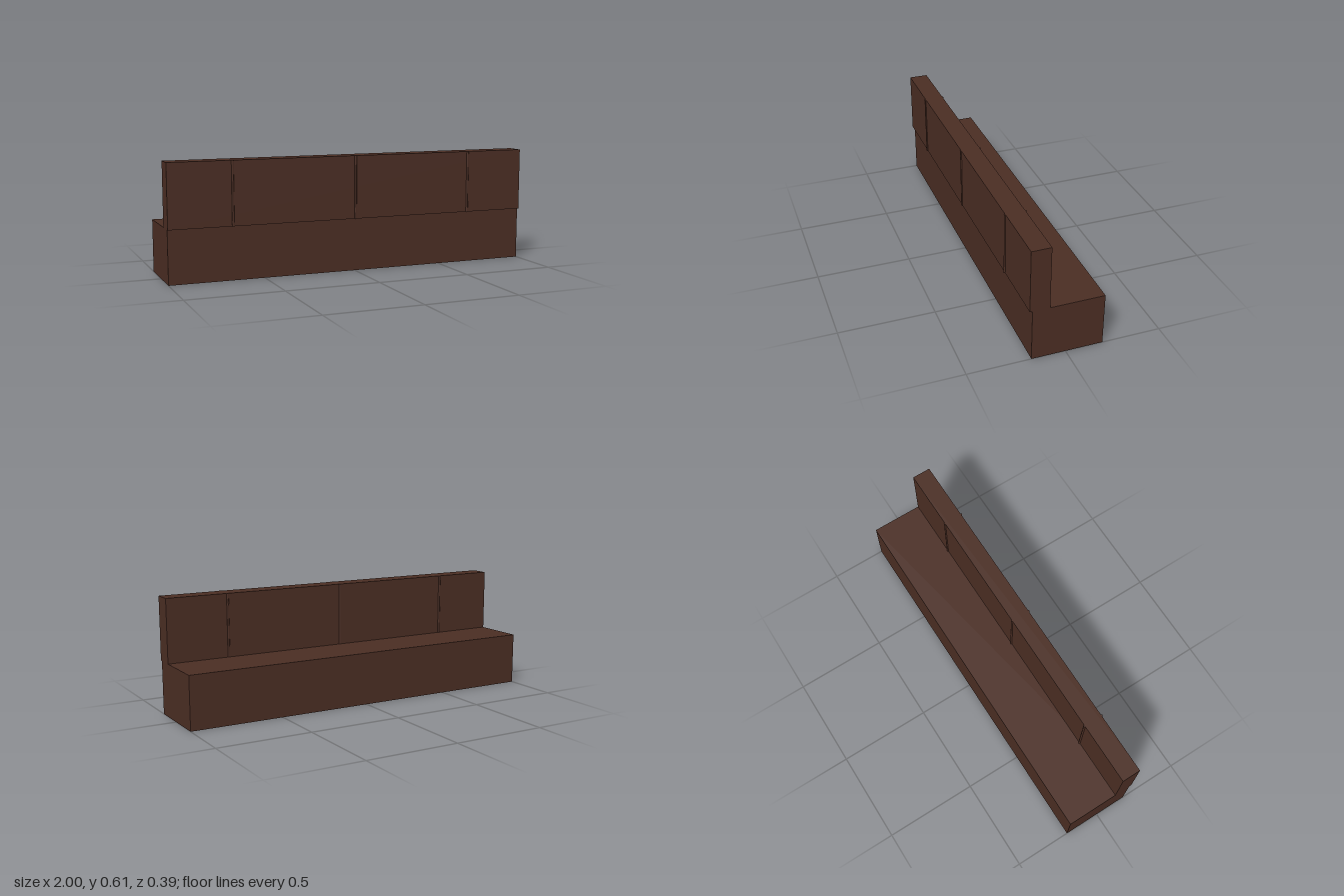
import * as THREE from 'three';

export function createModel() {
  const group = new THREE.Group();
  const darkBrown = new THREE.MeshStandardMaterial({ color: 0x4a2d23 });
  darkBrown.name = 'darkBrownLeather';

  const add = (name, geometry, x, y, z) => {
    const mesh = new THREE.Mesh(geometry, darkBrown);
    mesh.name = name;
    mesh.position.set(x, y, z);
    group.add(mesh);
  };

  // Solid bench base
  const seatTop = 0.28, seatBack = -0.194, seatFront = 0.175;
  add('seat', new THREE.BoxGeometry(2, seatTop, seatFront - seatBack),
    0, seatTop / 2, (seatFront + seatBack) / 2);

  // Upright backrest, slightly overhanging the base
  const top = 0.614, zFront = 0.188, zBack = 0.087;
  const height = top - seatTop, midY = (top + seatTop) / 2;
  add('backrest', new THREE.BoxGeometry(2, height, zFront - zBack),
    0, midY, (zFront + zBack) / 2);

  // Raised vertical seams on both faces of the backrest
  const seam = new THREE.CylinderGeometry(0.006, 0.006, height, 8);
  for (const x of [-0.667, 0, 0.667]) {
    add('frontSeam', seam, x, midY, zFront);
    add('rearSeam', seam, x, midY, zBack);
  }
  return group;
}
